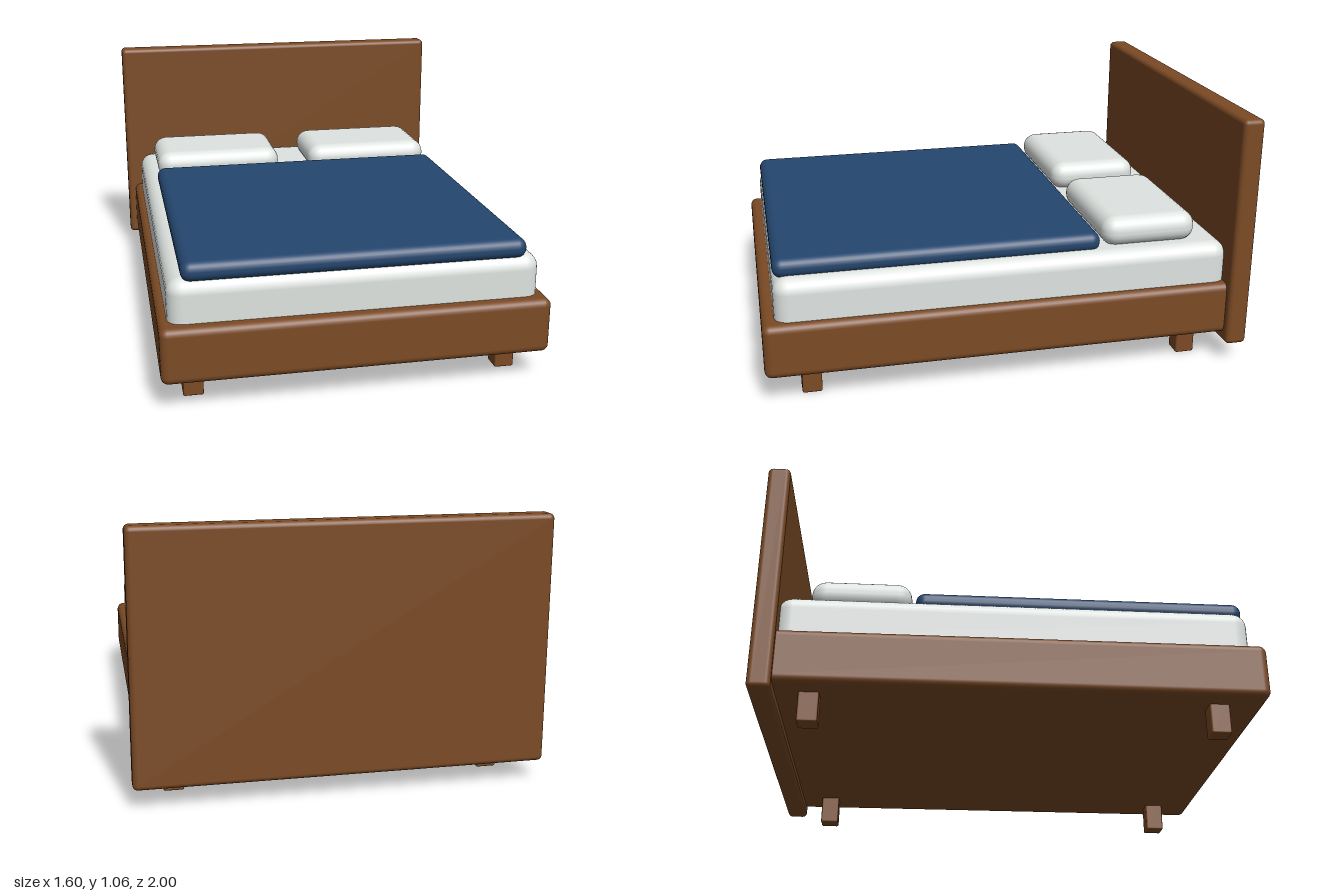
import * as THREE from 'three';
import { RoundedBoxGeometry } from 'three/addons/geometries/RoundedBoxGeometry.js';

export function createModel() {
  const bed = new THREE.Group();
  bed.name = 'bed';

  const material = (name, color) => {
    const m = new THREE.MeshStandardMaterial({ color });
    m.name = name;
    return m;
  };
  const wood = material('wood', 0x7b4a24);
  const linen = material('linen', 0xdfe4e1);
  const blue = material('blueBlanket', 0x24466e);

  // Soft-edged block given by its min and max corners
  const block = (name, mat, [x0, y0, z0], [x1, y1, z1], radius, segments = 3) => {
    const geometry = new RoundedBoxGeometry(x1 - x0, y1 - y0, z1 - z0, segments, radius);
    const mesh = new THREE.Mesh(geometry, mat);
    mesh.name = name;
    mesh.position.set((x0 + x1) / 2, (y0 + y1) / 2, (z0 + z1) / 2);
    bed.add(mesh);
  };

  // Wooden frame and headboard
  block('frame', wood, [-0.765, 0.12, -0.94], [0.765, 0.345, 1], 0.03);
  block('headboard', wood, [-0.8, 0.08, -1], [0.8, 1.06, -0.91], 0.02);

  // Bedding
  block('mattress', linen, [-0.73, 0.27, -0.925], [0.73, 0.515, 0.95], 0.06);
  block('blanket', blue, [-0.675, 0.5, -0.385], [0.675, 0.58, 0.945], 0.037);

  // Mirrored pillows and legs
  for (const [side, s] of [['left', 1], ['right', -1]]) {
    const px = s * 0.37, lx = s * 0.635;
    block(side + 'Pillow', linen, [px - 0.295, 0.505, -0.805], [px + 0.295, 0.632, -0.4], 0.06);
    for (const [end, z] of [['Front', 0.815], ['Back', -0.78]]) {
      block(side + end + 'Leg', wood, [lx - 0.04, 0, z - 0.04], [lx + 0.04, 0.15, z + 0.04], 0.007, 2);
    }
  }
  return bed;
}
